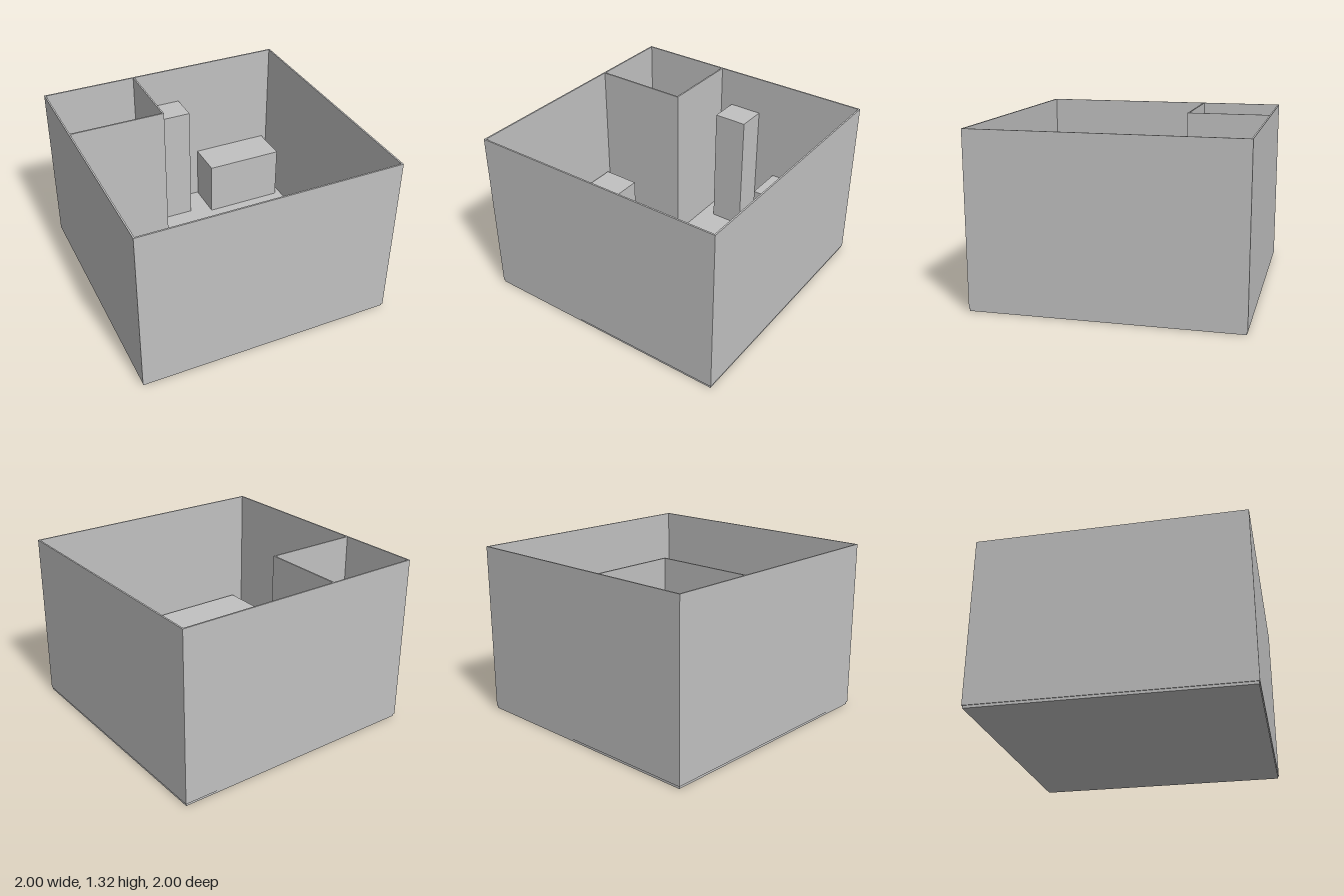
import * as THREE from 'three';

const FLOOR = 0.02;   // floor slab thickness
const TOP = 1.32;     // top of all walls
const T = 0.012;      // wall thickness

export function createModel() {
  const group = new THREE.Group();
  const grey = new THREE.MeshStandardMaterial({ color: 0xc0c0c0 });
  grey.name = 'plain grey';

  // Adds a box from its extents on each axis
  const block = (name, [x0, x1], [y0, y1], [z0, z1]) => {
    const mesh = new THREE.Mesh(new THREE.BoxGeometry(x1 - x0, y1 - y0, z1 - z0), grey);
    mesh.position.set((x0 + x1) / 2, (y0 + y1) / 2, (z0 + z1) / 2);
    mesh.name = name;
    group.add(mesh);
  };

  // Floor slab, set in slightly under the walls
  block('floor', [-0.994, 0.994], [0, FLOOR], [-0.994, 0.994]);

  // Outer walls
  const wallY = [FLOOR, TOP];
  block('backWall', [-1, 1], wallY, [-1, -1 + T]);
  block('frontWall', [-1, 1], wallY, [1 - T, 1]);
  block('rightWall', [-1, -1 + T], wallY, [-1 + T, 1 - T]);
  block('leftWall', [1 - T, 1], wallY, [-1 + T, 1 - T]);

  // Bathroom partitions
  block('bathroomFrontWall', [-1 + T, -0.25], wallY, [-0.36, -0.348]);
  block('bathroomSideWall', [-0.26, -0.248], wallY, [-1 + T, -0.348]);

  // Furniture: name, x extent, z extent, top height
  const furniture = [
    ['shower', [-0.945, -0.6], [-0.985, -0.645], 0.07],
    ['washbasin', [-0.485, -0.295], [-0.95, -0.75], 0.44],
    ['toilet', [-0.645, -0.45], [-0.63, -0.38], 0.22],
    ['fridge', [-0.14, 0.13], [-0.98, -0.745], 1.02],
    ['kitchenCounter', [0.3, 0.94], [-0.98, -0.675], 0.47],
    ['bed', [0.35, 0.94], [-0.18, 0.82], 0.27],
    ['desk', [-0.97, -0.67], [-0.3, 0.295], 0.39],
    ['sofa', [-0.87, -0.08], [0.62, 0.965], 0.4],
  ];
  for (const [name, x, z, top] of furniture) block(name, x, [FLOOR, top], z);

  return group;
}
